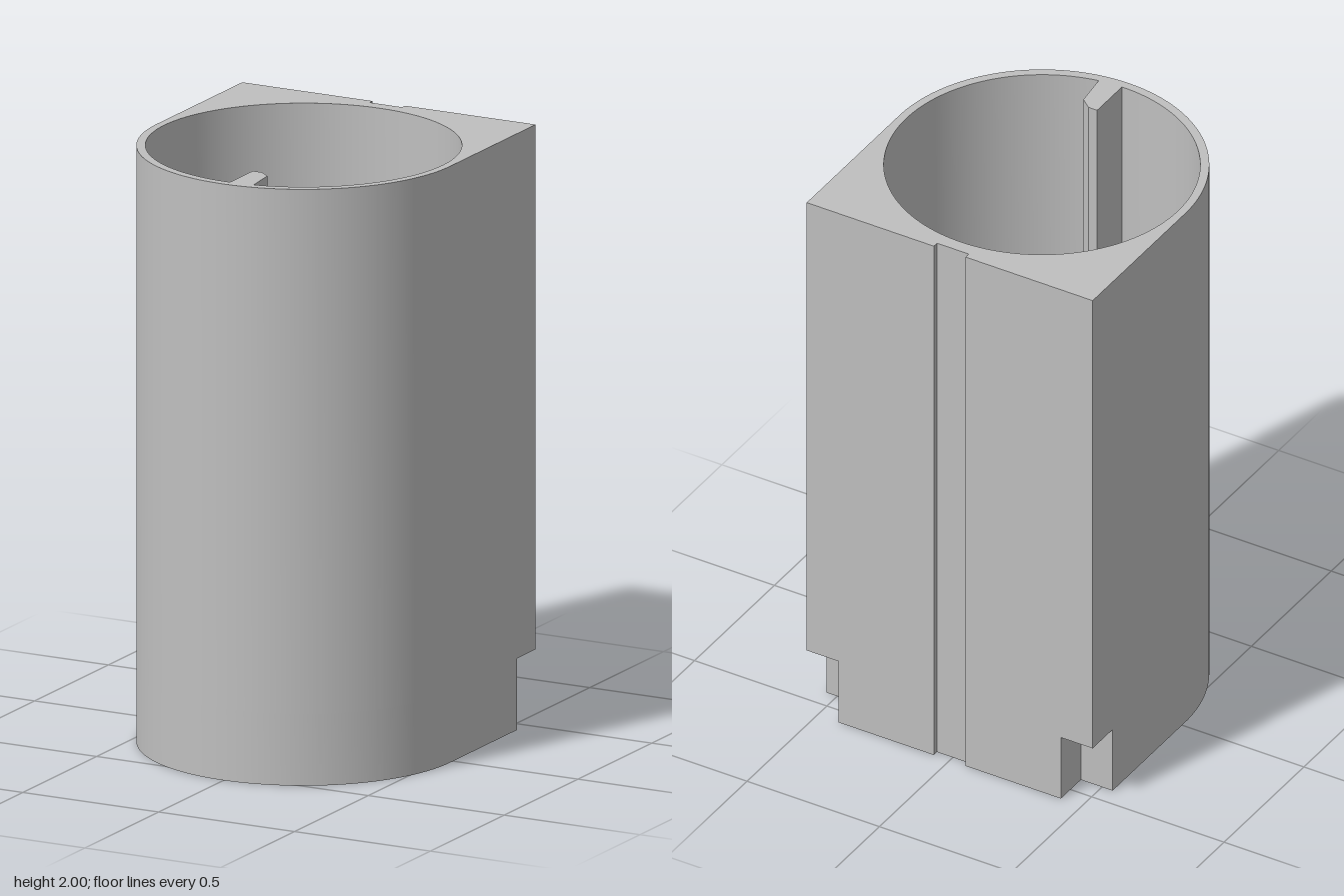
import * as THREE from 'three';
import { toCreasedNormals } from 'three/addons/utils/BufferGeometryUtils.js';

const HALF = 0.54, BACK = 0.56, HEIGHT = 2;
const OUTER_Z = 0.02, BORE_Z = 0.018, BORE_R = 0.512;
const NOTCH_X = 0.12, NOTCH_Z = 0.125, NOTCH_H = 0.24;
const GROOVE_X = 0.06, GROOVE_D = 0.02;

// Round bore with a keyed rib along its front wall (shape y is -z)
function boreOutline() {
  const bore = new THREE.Path();
  const ribRight = Math.atan2(-0.504, 0.09);
  const ribLeft = Math.atan2(-0.512, 0.007) + Math.PI * 2;
  bore.absarc(0, -BORE_Z, BORE_R, ribRight, ribLeft, false);
  [[0.007, 0.375], [0.04, 0.375], [0.077, 0.405]].forEach(([x, z]) => bore.lineTo(x, -z));
  bore.closePath();
  return bore;
}

// Square back with a centre groove, half-round front; the foot also loses its back corners
function bodySection(notched, y0, y1) {
  const shape = new THREE.Shape();
  const corner = notched
    ? [[HALF, BACK - NOTCH_Z], [HALF - NOTCH_X, BACK - NOTCH_Z], [HALF - NOTCH_X, BACK]]
    : [[HALF, BACK]];
  const half = [...corner, [GROOVE_X, BACK], [GROOVE_X, BACK - GROOVE_D]];
  shape.moveTo(HALF, -OUTER_Z);
  half.forEach(([x, y]) => shape.lineTo(x, y));
  [...half].reverse().forEach(([x, y]) => shape.lineTo(-x, y));
  shape.lineTo(-HALF, -OUTER_Z);
  shape.absarc(0, -OUTER_Z, HALF, Math.PI, Math.PI * 2, false);
  shape.holes.push(boreOutline());

  const geometry = new THREE.ExtrudeGeometry(shape, { depth: y1 - y0, bevelEnabled: false, curveSegments: 72 });
  geometry.rotateX(-Math.PI / 2);
  geometry.translate(0, y0, 0);
  return toCreasedNormals(geometry, 0.5);
}

export function createModel() {
  const group = new THREE.Group();
  group.name = 'keyedSleeve';
  const grey = new THREE.MeshStandardMaterial({ color: 0xbfbfbf });
  grey.name = 'light grey';

  const foot = new THREE.Mesh(bodySection(true, 0, NOTCH_H), grey);
  foot.name = 'notchedFoot';
  const body = new THREE.Mesh(bodySection(false, NOTCH_H, HEIGHT), grey);
  body.name = 'sleeveBody';
  group.add(foot, body);
  return group;
}
